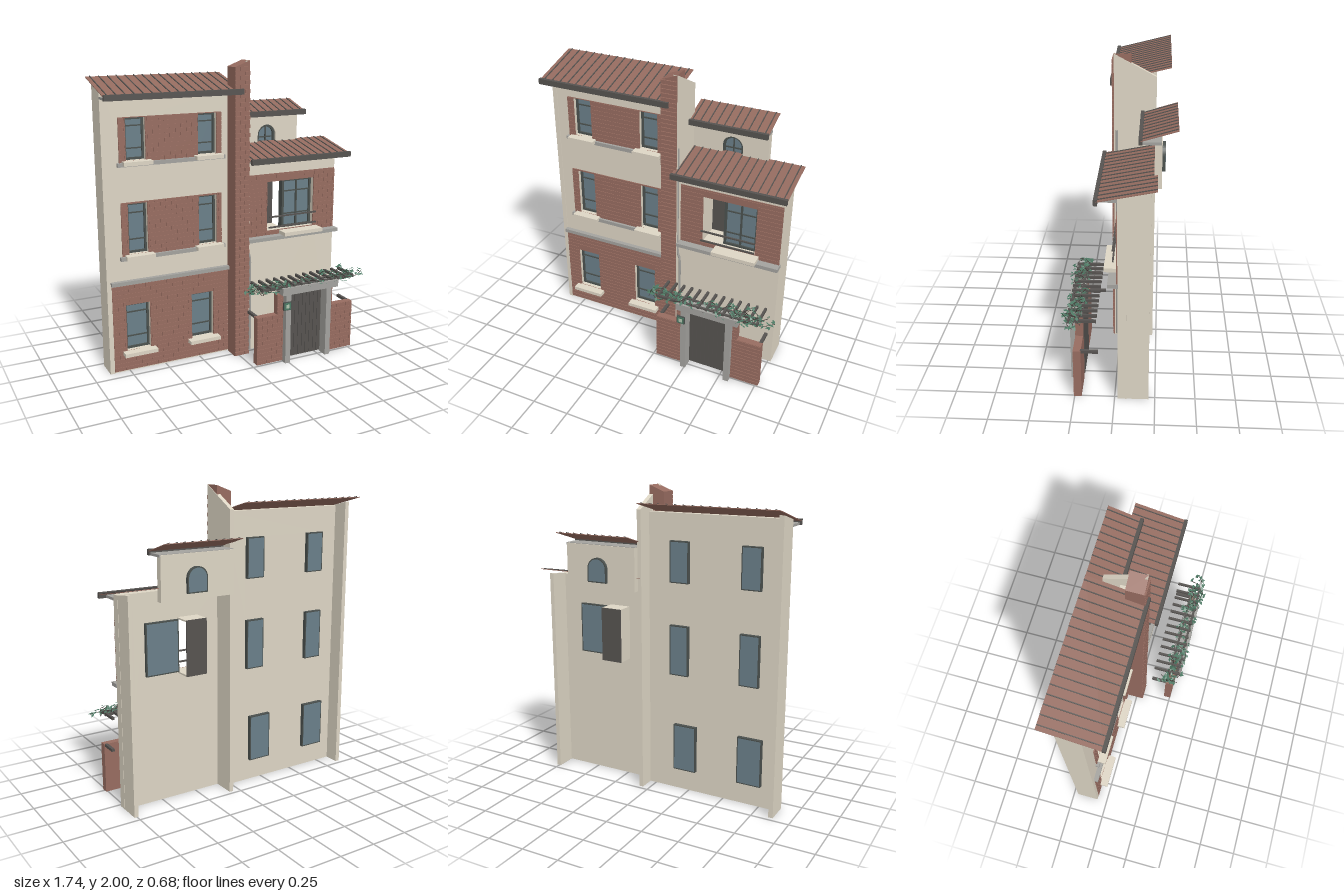
import * as THREE from 'three';
import { mergeGeometries } from 'three/addons/utils/BufferGeometryUtils.js';

const mat = (name, color, side = THREE.FrontSide) => {
  const m = new THREE.MeshStandardMaterial({ color, side });
  m.name = name;
  return m;
};

export function createModel() {
  const plaster = mat('plaster', 0xddd5c4), brick = mat('brick', 0x976c60);
  const tile = mat('roofTile', 0x936a5e), dark = mat('darkMetal', 0x565350);
  const stone = mat('greyStone', 0xa3a29e), glass = mat('glass', 0x6a7f89);
  const frame = mat('windowFrame', 0x4b514e), leaf = mat('leaf', 0x4c7863, THREE.DoubleSide);
  const twig = mat('twig', 0x403c36), sign = mat('signFace', 0xb4c6b1);
  const root = new THREE.Group();
  root.name = 'townhouse';

  const add = (name, geo, m, parent = root) => {
    const mesh = new THREE.Mesh(geo, m);
    mesh.name = name;
    parent.add(mesh);
    return mesh;
  };
  const boxGeo = (x0, x1, y0, y1, z0, z1) =>
    new THREE.BoxGeometry(x1 - x0, y1 - y0, z1 - z0)
      .translate((x0 + x1) / 2, (y0 + y1) / 2, (z0 + z1) / 2);
  const box = (name, m, ...b) => add(name, boxGeo(...b), m);
  const rect = (T, [x0, x1, y0, y1]) => new T()
    .moveTo(x0, y0).lineTo(x1, y0).lineTo(x1, y1).lineTo(x0, y1).closePath();
  const arch = (T, cx, r, y0, spring) => new T().moveTo(cx - r, y0).lineTo(cx + r, y0)
    .lineTo(cx + r, spring).absarc(cx, spring, r, 0, Math.PI, false).closePath();
  const extrude = (shape, z0, z1) =>
    new THREE.ExtrudeGeometry(shape, { depth: z1 - z0, bevelEnabled: false, curveSegments: 10 }).translate(0, 0, z0);
  const wall = (name, m, r, z0, z1, holes = []) => {
    const s = rect(THREE.Shape, r);
    holes.forEach(h => s.holes.push(rect(THREE.Path, h)));
    return add(name, extrude(s, z0, z1), m);
  };

  // Running-bond bricks in low relief, interrupted at the openings
  const bricks = (name, [x0, x1, y0, y1], z, holes = [], w = 0.075, relief = 0.004) => {
    const geos = [], h = 0.028, gap = 0.004;
    for (let r = 0, y = y0; y < y1 - 0.008; r++, y += h) {
      const top = Math.min(y + h - gap, y1);
      let spans = [[x0, x1]];
      for (const q of holes) if (q[2] < top && q[3] > y)
        spans = spans.flatMap(([a, b]) => [[a, Math.min(b, q[0])], [Math.max(a, q[1]), b]].filter(([c, d]) => d > c));
      for (const [a, b] of spans)
        for (let x = x0 - (r % 2) * w / 2; x < b; x += w) {
          const l = Math.max(x, a), e = Math.min(x + w - gap, b);
          if (e - l > 0.006) geos.push(boxGeo(l, e, y, top, z, z + relief));
        }
    }
    add(name, mergeGeometries(geos), brick);
  };
  const brickWall = (name, r, z0, z1, holes) => {
    wall(name, brick, r, z0, z1, holes);
    bricks(name + 'Courses', r, z1, holes);
  };

  // Framed window with a pane and glazing bars
  const windowUnit = (name, [x0, x1, y0, y1], z0, z1, rows, t = 0.014) => {
    wall(name + 'Frame', frame, [x0, x1, y0, y1], z0, z1, [[x0 + t, x1 - t, y0 + t, y1 - t]]);
    box(name + 'Pane', glass, x0 + t / 2, x1 - t / 2, y0 + t / 2, y1 - t / 2, z0 - 0.001, z1 - 0.012);
    for (const f of rows) {
      const y = y0 + f * (y1 - y0);
      box(name + 'Bar', frame, x0, x1, y - 0.004, y + 0.004, z1 - 0.012, z1 - 0.004);
    }
  };

  // Left house: set-back facade with three floors of paired windows
  const floors = [
    { y: [0.145, 0.46], xs: [[-0.765, -0.60], [-0.305, -0.145]], panel: [-0.855, -0.035, 0.01, 0.605] },
    { y: [0.80, 1.13], xs: [[-0.73, -0.60], [-0.245, -0.115]], panel: [-0.775, -0.08, 0.79, 1.14] },
    { y: [1.405, 1.67], xs: [[-0.73, -0.60], [-0.245, -0.115]], panel: [-0.775, -0.08, 1.395, 1.675] },
  ];
  const openings = floors.map(f => f.xs.map(x => [...x, ...f.y]));
  wall('leftFacade', plaster, [-0.86, 0.046, 0, 1.84], -0.12, -0.075, openings.flat());
  floors.forEach((f, i) => {
    brickWall('leftBrickPanel', f.panel, -0.075, -0.071, openings[i]);
    openings[i].forEach(o => {
      windowUnit('leftWindow', o, -0.145, -0.1, [0.27, 0.8]);
      box('windowSill', plaster, o[0] - 0.03, o[1] + 0.03, o[2] - 0.025, o[2], -0.08, -0.015);
    });
    if (i) box('floorLedge', stone, -0.79, -0.06, f.panel[2] - 0.025, f.panel[2], -0.08, -0.05);
  });
  box('groundLedge', stone, -0.86, -0.03, 0.605, 0.63, -0.08, -0.045);

  // Party walls running backwards, drawn as z, y profiles
  const partyWall = (name, x0, x1, pts) => {
    const s = new THREE.Shape(pts.map(([z, y]) => new THREE.Vector2(-z, y)));
    add(name, extrude(s, 0, x1 - x0).rotateY(Math.PI / 2).translate(x0, 0, 0), plaster);
  };
  partyWall('leftEndWall', -0.885, -0.855, [[-0.07, 0], [-0.22, 0], [-0.22, 1.87], [-0.07, 1.835]]);
  partyWall('middleWall', 0.045, 0.073, [[0.037, 0], [-0.225, 0], [-0.225, 1.86], [0.037, 2]]);
  partyWall('rightEndWall', 0.74, 0.768, [[-0.03, 0], [-0.21, 0], [-0.21, 1.4], [-0.03, 1.375]]);

  // Brick chimney with a sloping top
  const stack = new THREE.Shape([[-0.035, 0], [0.07, 0], [0.07, 2], [-0.035, 1.96]].map(p => new THREE.Vector2(...p)));
  add('chimney', extrude(stack, -0.07, 0.04), brick);
  bricks('chimneyCourses', [-0.035, 0.07, 0.005, 1.965], 0.04, [], 0.07, 0.01);

  // Right house: facade, brick storey and ledge
  const bay = [0.235, 0.6, 0.85, 1.19];
  wall('rightFacade', plaster, [0.07, 0.77, 0, 1.38], -0.075, -0.02, [bay]);
  brickWall('rightBrickPanel', [0.078, 0.768, 0.82, 1.245], -0.02, -0.016, [bay]);
  box('rightLedge', stone, 0.065, 0.775, 0.795, 0.82, -0.025, 0.04);
  box('rightSill', plaster, 0.33, 0.63, 0.82, 0.845, -0.025, 0.07);
  windowUnit('rightWindow', [0.37, 0.6, 0.85, 1.19], -0.095, -0.05, [0.28, 0.75], 0.016);
  box('rightWindowMullion', frame, 0.479, 0.491, 0.86, 1.18, -0.062, -0.053);
  for (const y of [0.88, 0.953]) box('windowRail', dark, 0.235, 0.605, y - 0.005, y + 0.005, 0.012, 0.022);

  // Recess behind the open half of the bay
  box('recessSide', plaster, 0.225, 0.235, 0.85, 1.19, -0.185, -0.07);
  box('recessTop', plaster, 0.225, 0.37, 1.19, 1.2, -0.185, -0.07);
  box('recessFloor', plaster, 0.225, 0.37, 0.84, 0.85, -0.185, -0.07);
  box('recessBack', dark, 0.225, 0.37, 0.84, 1.2, -0.193, -0.185);

  // Set-back attic wall with an arched window
  const attic = rect(THREE.Shape, [0.07, 0.58, 1.345, 1.625]);
  attic.holes.push(arch(THREE.Path, 0.34, 0.07, 1.385, 1.475));
  add('atticWall', extrude(attic, -0.265, -0.222), plaster);
  const archFrame = arch(THREE.Shape, 0.34, 0.07, 1.385, 1.475);
  archFrame.holes.push(arch(THREE.Path, 0.34, 0.055, 1.4, 1.475));
  add('archedFrame', extrude(archFrame, -0.285, -0.235), frame);
  add('archedPane', extrude(arch(THREE.Shape, 0.34, 0.062, 1.393, 1.475), -0.286, -0.25), glass);
  box('archedMullion', frame, 0.336, 0.344, 1.39, 1.54, -0.25, -0.242);
  box('archedBar', frame, 0.28, 0.4, 1.455, 1.463, -0.25, -0.242);

  // Thin sloping roofs with raised ribs and a gutter
  const roof = (name, x0, x1, zF, yF, zB, yB) => {
    const a = Math.atan2(yB - yF, zF - zB), len = Math.hypot(yB - yF, zF - zB);
    const g = new THREE.Group();
    g.name = name;
    g.position.set(0, (yF + yB) / 2, (zF + zB) / 2);
    g.rotation.x = a;
    root.add(g);
    add('roofSheet', boxGeo(x0, x1, -0.002, 0.002, -len / 2, len / 2), tile, g);
    const ribs = [], n = Math.round((x1 - x0) / 0.056);
    for (let i = 0; i < n; i++) {
      const x = x0 + (i + 0.5) * (x1 - x0) / n;
      ribs.push(boxGeo(x - 0.003, x + 0.003, 0.002, 0.007, -len / 2, len / 2));
    }
    add('roofRibs', mergeGeometries(ribs), dark, g);
    box(name + 'Gutter', dark, x0, x1, yF - 0.022, yF + 0.014, zF - 0.012, zF + 0.01);
  };
  roof('leftRoof', -0.895, 0.02, 0.055, 1.812, -0.315, 1.905);
  roof('rightRoof', 0.055, 0.815, 0.1, 1.36, -0.243, 1.43);
  roof('atticRoof', 0.062, 0.595, -0.14, 1.635, -0.355, 1.7);
  box('rightSoffit', stone, 0.073, 0.77, 1.34, 1.357, -0.02, 0.09);
  box('atticSoffit', stone, 0.073, 0.585, 1.612, 1.628, -0.26, -0.15);
  box('leftSoffit', stone, -0.885, -0.035, 1.79, 1.805, -0.075, 0.045);

  // Drainpipe beside the middle wall
  const pipe = [[0.073, 1.52], [0.073, 0.76], [0.076, 0.73], [0.088, 0.69], [0.09, 0.6], [0.09, 0.02]];
  add('drainpipe', new THREE.TubeGeometry(new THREE.CatmullRomCurve3(
    pipe.map(([x, y]) => new THREE.Vector3(x, y, 0.02)), false, 'centripetal'), 40, 0.008, 8), stone);

  // Garden wall and gate
  const yard = [[0.025, 0.175, 0.345], [0.175, 0.225, 0.485], [0.57, 0.605, 0.485], [0.605, 0.77, 0.345]];
  for (const [x0, x1, y] of yard) brickWall('gardenWall', [x0, x1, 0.01, y], 0.205, 0.25);
  for (const x of [0.22, 0.535]) box('gatePost', stone, x, x + 0.038, 0, 0.5, 0.22, 0.29);
  box('gateLintel', stone, 0.19, 0.62, 0.49, 0.54, 0.21, 0.3);
  box('gate', dark, 0.255, 0.538, 0.01, 0.49, 0.205, 0.22);
  for (let i = 0; i < 9; i++) box('gateSlat', dark, 0.265 + i * 0.03, 0.282 + i * 0.03, 0.015, 0.485, 0.22, 0.224);
  for (const x of [0.03, 0.745]) box('wallBrace', dark, x, x + 0.02, 0.328, 0.346, 0.1, 0.21);
  box('gateSign', frame, 0.197, 0.253, 0.385, 0.442, 0.288, 0.3);
  box('gateSignBorder', leaf, 0.201, 0.249, 0.389, 0.438, 0.3, 0.303);
  box('gateSignFace', sign, 0.213, 0.237, 0.401, 0.426, 0.303, 0.306);

  // Pergola over the gate
  for (const z of [0.225, 0.275]) box('pergolaBeam', dark, 0.04, 0.75, 0.532, 0.548, z - 0.008, z + 0.008);
  for (let i = 0; i < 13; i++) box('pergolaSlat', dark, 0.045 + i * 0.0575, 0.06 + i * 0.0575, 0.538, 0.556, 0.11, 0.29);

  // Climbing vine: wandering stems and scattered pointed leaves
  let seed = 7;
  const rnd = (a = 0, b = 1) => a + (b - a) * ((seed = (seed * 16807) % 2147483647) / 2147483647);
  const stems = [], leaves = [];
  const leafShape = new THREE.Shape([[0, -1], [0.5, 0], [0, 1], [-0.5, 0]].map(p => new THREE.Vector2(...p)));
  for (let s = 0; s < 24; s++) {
    const left = s < 12, x = left ? rnd(0.02, 0.2) : rnd(0.45, 0.72), dir = rnd() < 0.35 ? -1 : 1;
    const y = rnd(0.53, 0.575), z = rnd(0.2, 0.28), pts = [];
    for (let k = 0; k < 5; k++) pts.push(new THREE.Vector3(
      THREE.MathUtils.clamp(x + dir * k * 0.038, -0.01, 0.86), y + rnd(-0.03, 0.025), z + rnd(-0.045, 0.05)));
    const curve = new THREE.CatmullRomCurve3(pts);
    stems.push(new THREE.TubeGeometry(curve, 12, 0.002, 4));
    for (let k = 0; k < 13; k++) {
      const p = curve.getPoint(rnd()), size = rnd(0.012, 0.021);
      leaves.push(new THREE.ShapeGeometry(leafShape).scale(size, size, size)
        .rotateX(rnd(-2.2, -0.9)).rotateY(rnd(0, 6.28))
        .translate(p.x + rnd(-0.015, 0.015), p.y + rnd(-0.015, 0.015), p.z + rnd(-0.02, 0.02)));
    }
  }
  add('vineStems', mergeGeometries(stems), twig);
  add('vineLeaves', mergeGeometries(leaves), leaf);

  return root;
}
